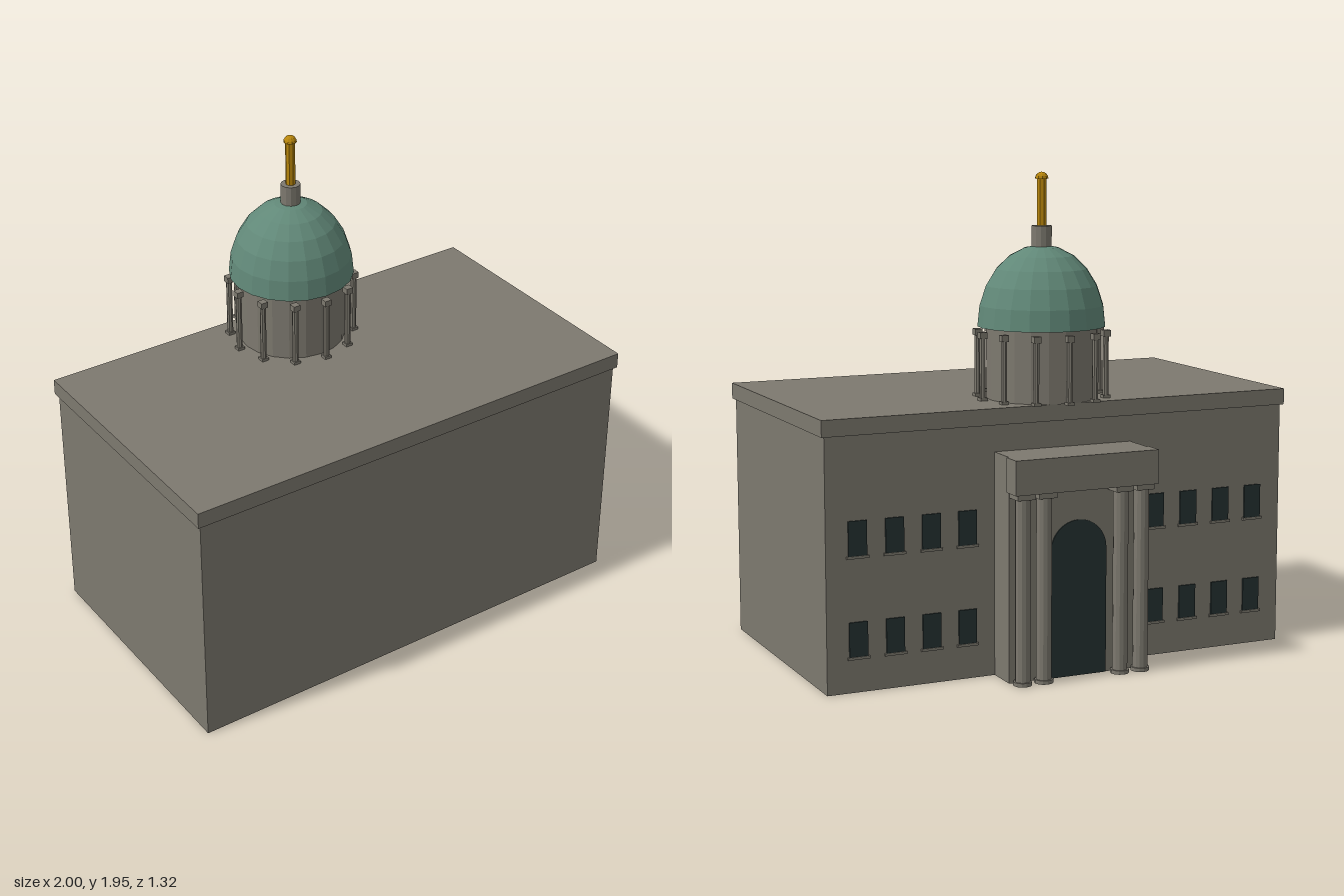
import * as THREE from 'three';

const mat = (name, color, flatShading = false) => {
  const m = new THREE.MeshStandardMaterial({ color, flatShading });
  m.name = name;
  return m;
};

export function createModel() {
  const model = new THREE.Group();
  model.name = 'domedHall';
  const stone = mat('stone', 0x7d796f, true);
  const copper = mat('agedCopper', 0x618878, true);
  const gold = mat('gold', 0xb8860b, true);
  const glass = mat('darkGlass', 0x263232, true);

  const add = (name, geo, m, x, y, z, parent = model) => {
    const mesh = new THREE.Mesh(geo, m);
    mesh.name = name;
    mesh.position.set(x, y, z);
    parent.add(mesh);
    return mesh;
  };
  // Box and upright cylinder placed by the height of their underside
  const box = (name, w, h, d, m, x, y, z, parent) =>
    add(name, new THREE.BoxGeometry(w, h, d), m, x, y + h / 2, z, parent);
  const cyl = (name, r, h, sides, m, x, y, z, parent) =>
    add(name, new THREE.CylinderGeometry(r, r, h, sides), m, x, y + h / 2, z, parent);

  // Main block and roof slab
  box('mainBlock', 1.974, 0.99, 1.09, stone, 0, 0, 0.105);
  box('roofCornice', 2, 0.065, 1.11, stone, 0, 0.99, 0.105);

  // Two rows of windows on the rear wall, four on each side of the portico
  const wallZ = -0.44;
  for (const side of [-1, 1]) {
    for (const x of [0.41, 0.56, 0.71, 0.86]) {
      for (const y of [0.14, 0.53]) {
        const win = new THREE.Group();
        win.name = 'window';
        win.position.set(side * x, y, wallZ);
        model.add(win);
        box('pane', 0.075, 0.135, 0.008, glass, 0, 0, -0.002, win);
        box('sill', 0.09, 0.01, 0.012, stone, 0, -0.01, -0.003, win);
      }
    }
  }

  // Entrance portico
  const portico = new THREE.Group();
  portico.name = 'portico';
  model.add(portico);
  box('porticoBlock', 0.59, 0.885, 0.145, stone, 0, 0, -0.5025, portico);
  box('entablature', 0.61, 0.135, 0.085, stone, 0, 0.75, -0.6175, portico);

  // Arched doorway
  const arch = new THREE.Shape();
  arch.moveTo(-0.12, 0);
  arch.lineTo(0.12, 0);
  arch.lineTo(0.12, 0.5);
  arch.absarc(0, 0.5, 0.12, 0, Math.PI, false);
  arch.closePath();
  add('archedDoor', new THREE.ExtrudeGeometry(arch, { depth: 0.006, bevelEnabled: false, curveSegments: 8 }),
    glass, 0, 0, -0.58, portico);

  // Paired columns
  for (const x of [-0.255, -0.165, 0.165, 0.255]) {
    const column = new THREE.Group();
    column.name = 'porticoColumn';
    column.position.set(x, 0, -0.612);
    portico.add(column);
    cyl('base', 0.037, 0.015, 12, stone, 0, 0, 0, column);
    cyl('shaft', 0.03, 0.72, 12, stone, 0, 0.012, 0, column);
    box('capital', 0.075, 0.025, 0.075, stone, 0, 0.728, 0, column);
  }

  // Drum, ringed by twelve small columns
  const tower = new THREE.Group();
  tower.name = 'domeTower';
  tower.position.set(0, 0, -0.24);
  model.add(tower);
  cyl('drum', 0.22, 0.29, 20, stone, 0, 1.055, 0, tower);
  for (let i = 0; i < 12; i++) {
    const a = (i * Math.PI) / 6;
    const column = new THREE.Group();
    column.name = 'drumColumn';
    column.position.set(Math.sin(a) * 0.255, 1.055, Math.cos(a) * 0.255);
    tower.add(column);
    box('base', 0.03, 0.012, 0.03, stone, 0, 0, 0, column);
    cyl('shaft', 0.0125, 0.245, 8, stone, 0, 0.005, 0, column);
    box('capital', 0.03, 0.025, 0.03, stone, 0, 0.245, 0, column);
  }

  // Dome with a closed underside
  const dome = new THREE.SphereGeometry(0.255, 20, 6, 0, Math.PI * 2, 0, Math.PI / 2);
  dome.scale(1, 1.255, 1);
  add('dome', dome, copper, 0, 1.34, 0, tower);
  const soffit = new THREE.CircleGeometry(0.255, 20);
  soffit.rotateX(Math.PI / 2);
  add('domeSoffit', soffit, copper, 0, 1.34, 0, tower);

  // Lantern and gilded finial
  cyl('lantern', 0.04, 0.095, 12, stone, 0, 1.64, 0, tower);
  cyl('finialShaft', 0.02, 0.19, 8, gold, 0, 1.73, 0, tower);
  add('finialBall', new THREE.SphereGeometry(0.027, 10, 4, 0, Math.PI * 2, 0, Math.PI / 2), gold, 0, 1.918, 0, tower);
  const ballBase = new THREE.CircleGeometry(0.027, 10);
  ballBase.rotateX(Math.PI / 2);
  add('finialBallUnderside', ballBase, gold, 0, 1.918, 0, tower);

  return model;
}
